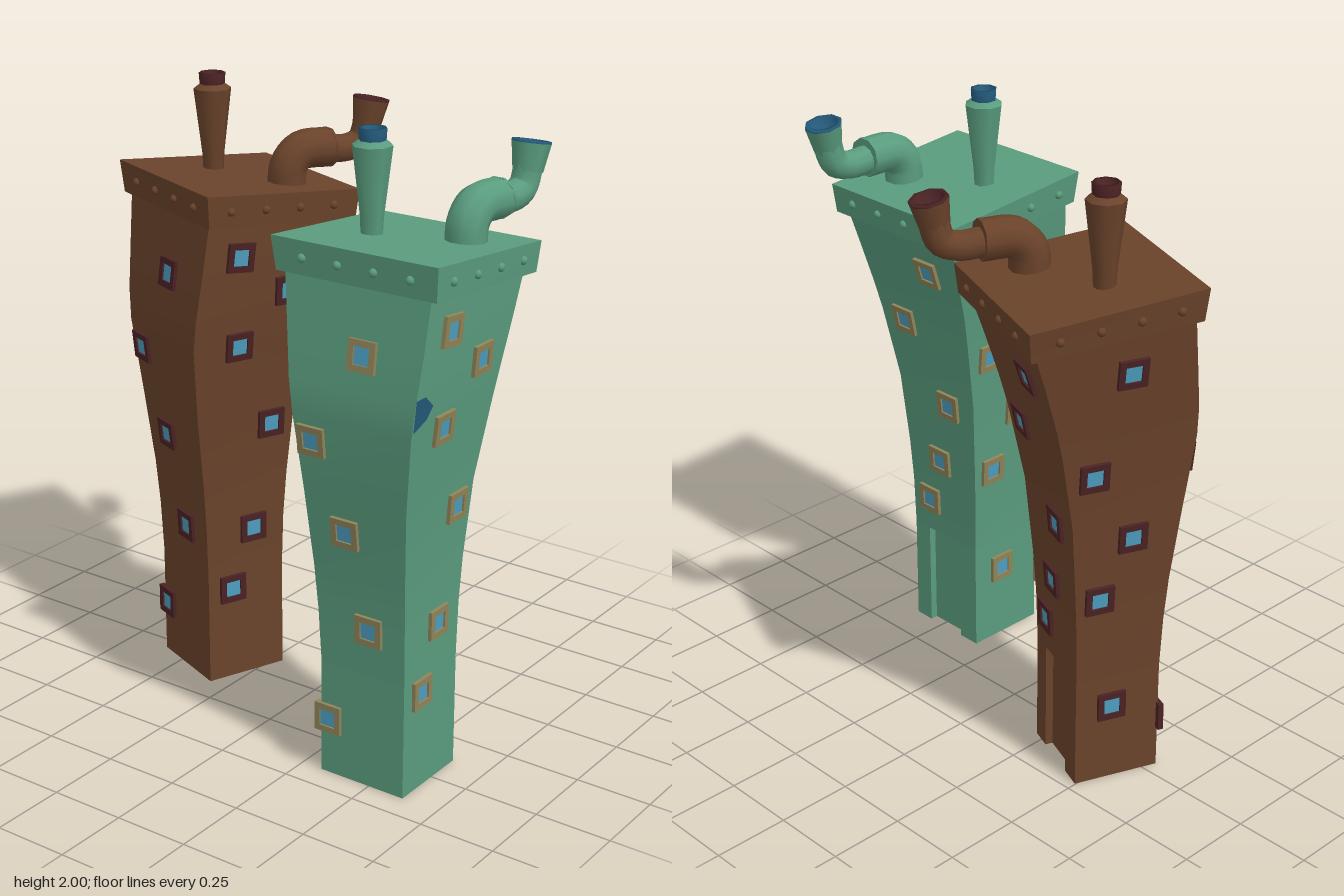
import * as THREE from 'three';

const mat = (name, color) => {
  const m = new THREE.MeshStandardMaterial({ color });
  m.name = name;
  return m;
};

// Tower outline at each height: y, left x, right x, back z, front z
const RINGS = [
  [0.375, -0.41, -0.125, 0.322, 0.625],
  [0.55, -0.415, -0.12, 0.314, 0.627],
  [0.7, -0.425, -0.11, 0.305, 0.632],
  [0.95, -0.453, -0.09, 0.288, 0.65],
  [1.2, -0.48, -0.045, 0.265, 0.68],
  [1.3, -0.475, -0.02, 0.25, 0.69],
  [1.45, -0.455, 0.025, 0.23, 0.702],
  [1.63, -0.43, 0.085, 0.205, 0.71],
];

// Interpolated outline value (1 left, 2 right, 3 back, 4 front)
function outline(k, y) {
  if (y <= RINGS[0][0]) return RINGS[0][k];
  let i = 1;
  while (i < RINGS.length - 1 && RINGS[i][0] < y) i++;
  const a = RINGS[i - 1], b = RINGS[i];
  return a[k] + ((b[k] - a[k]) * (y - a[0])) / (b[0] - a[0]);
}

// Curved walls: one smooth strip per side, sharp at the corners
function wallGeometry() {
  const corners = [[1, 4], [2, 4], [2, 3], [1, 3]];
  const pos = [], idx = [];
  for (let s = 0; s < 4; s++) {
    const start = pos.length / 3;
    RINGS.forEach((r, j) => {
      for (const c of [corners[s], corners[(s + 1) % 4]]) pos.push(r[c[0]], r[0], r[c[1]]);
      if (j) {
        const a = start + (j - 1) * 2;
        idx.push(a, a + 1, a + 3, a, a + 3, a + 2);
      }
    });
  }
  const g = new THREE.BufferGeometry();
  g.setAttribute('position', new THREE.Float32BufferAttribute(pos, 3));
  g.setIndex(idx);
  g.computeVertexNormals();
  return g;
}

// Straight foot of the tower with a door recess on the +x side
function footGeometry() {
  const pts = [[-0.41, 0.625], [-0.125, 0.625], [-0.125, 0.555], [-0.15, 0.555],
    [-0.15, 0.4], [-0.125, 0.4], [-0.125, 0.322], [-0.41, 0.322]];
  const shape = new THREE.Shape(pts.map(([x, z]) => new THREE.Vector2(x, -z)));
  return new THREE.ExtrudeGeometry(shape, { depth: 0.375, bevelEnabled: false }).rotateX(-Math.PI / 2);
}

// Sloping roof slab, a little narrower below
function capGeometry() {
  const g = new THREE.BoxGeometry(1, 1, 1);
  const p = g.attributes.position;
  for (let i = 0; i < p.count; i++) {
    const top = p.getY(i) > 0, right = p.getX(i) > 0, front = p.getZ(i) > 0;
    const x = right ? (top ? 0.1 : 0.09) : (top ? -0.455 : -0.447);
    const y = right ? (top ? 1.66 : 1.565) : (top ? 1.71 : 1.605);
    const z = front ? (top ? 0.743 : 0.735) : (top ? 0.172 : 0.185);
    p.setXYZ(i, x, y, z);
  }
  g.computeVertexNormals();
  return g;
}

function frameGeometry() {
  const square = (C, h) => new C([[-h, -h], [h, -h], [h, h], [-h, h]].map(([x, y]) => new THREE.Vector2(x, y)));
  const shape = square(THREE.Shape, 0.047);
  shape.holes.push(square(THREE.Path, 0.027));
  return new THREE.ExtrudeGeometry(shape, { depth: 0.018, bevelEnabled: false }).translate(0, 0, -0.006);
}

const SIDES = {
  front: { k: 4, sign: 1, turn: 0 },
  right: { k: 2, sign: 1, turn: Math.PI / 2 },
  back: { k: 3, sign: -1, turn: Math.PI },
  left: { k: 1, sign: -1, turn: -Math.PI / 2 },
};

// Windows per side: position along the wall, height
const WINDOWS = {
  front: [[-0.32, 1.49, -0.1], [-0.14, 1.355], [-0.315, 1.19], [-0.18, 0.895], [-0.24, 0.53], [-0.32, 0.325]],
  right: [[0.375, 1.435], [0.565, 1.195], [0.41, 0.91], [0.475, 0.675], [0.54, 0.5]],
  back: [[-0.245, 1.46], [-0.15, 1.12], [-0.29, 0.88], [-0.19, 0.675], [-0.245, 0.27]],
  left: [[0.5, 1.41], [0.33, 1.12], [0.43, 0.84], [0.5, 0.53], [0.35, 0.19]],
};

// Group lying on a wall, its +z pointing outward
function mount(side, u, y, roll = 0) {
  const { k, sign, turn } = SIDES[side];
  const d = outline(k, y);
  const slope = (sign * (outline(k, y + 0.05) - outline(k, y - 0.05))) / 0.1;
  const g = new THREE.Group();
  g.rotation.set(Math.atan(slope), turn, roll, 'YXZ');
  if (k > 2) g.position.set(u, y, d);
  else g.position.set(d, y, u);
  return g;
}

function buildTower(name, wall, trim, rim, glass) {
  const tower = new THREE.Group();
  tower.name = name;
  const add = (part, geo, m, parent = tower) => {
    const mesh = new THREE.Mesh(geo, m);
    mesh.name = part;
    parent.add(mesh);
    return mesh;
  };

  add('foot', footGeometry(), wall);
  add('walls', wallGeometry(), wall);
  add('doorLintel', new THREE.BoxGeometry(0.03, 0.01, 0.165), wall).position.set(-0.141, 0.38, 0.4775);
  add('roofSlab', capGeometry(), wall);

  // Windows
  const frame = frameGeometry(), pane = new THREE.BoxGeometry(0.056, 0.056, 0.008);
  for (const side in WINDOWS) {
    for (const [u, y, roll] of WINDOWS[side]) {
      const w = mount(side, u, y, roll);
      w.name = side + 'Window';
      add('windowFrame', frame, trim, w);
      add('windowPane', pane, glass, w).position.z = 0.002;
      tower.add(w);
    }
  }

  // Rivets around the roof slab
  const rivet = new THREE.SphereGeometry(0.014, 8, 6);
  const slabY = (x) => 1.657 - (x + 0.45) * 0.08;
  for (let i = 0; i < 4; i++) {
    const x = -0.37 + i * 0.125, z = 0.28 + i * 0.123;
    for (const [px, pz] of [[x, 0.738], [x, 0.179], [0.094, z], [-0.451, z]]) {
      add('rivet', rivet, wall).position.set(px, slabY(px), pz);
    }
  }

  // Upright chimney with a dark collar
  const chimney = new THREE.Group();
  chimney.name = 'chimney';
  chimney.position.set(-0.21, 0, 0.355);
  const ring = (pts) => new THREE.LatheGeometry(pts.map(([r, y]) => new THREE.Vector2(r, y)), 8, Math.PI / 8);
  add('chimneyFlue', ring([[0.032, 1.66], [0.036, 1.74], [0.061, 1.95]]), wall, chimney);
  add('chimneyShoulder', ring([[0.061, 1.95], [0.04, 1.965]]), wall, chimney);
  add('chimneyCollar', ring([[0.04, 1.955], [0.043, 2], [0.03, 2], [0.028, 1.97], [0, 1.97]]), rim, chimney);
  tower.add(chimney);

  // Bent pipe: thick elbow, thinner arm, flared mouth
  const v = (x, y, z) => new THREE.Vector3(x, y, z);
  const bend = (pts) => new THREE.CatmullRomCurve3(pts);
  add('pipeElbow', new THREE.TubeGeometry(bend([v(-0.082, 1.66, 0.597), v(-0.075, 1.73, 0.598),
    v(-0.035, 1.772, 0.602), v(0.065, 1.775, 0.612)]), 14, 0.063, 10), wall);
  const collar = add('pipeCollar', new THREE.CylinderGeometry(0.064, 0.064, 0.01, 10), wall);
  collar.position.set(0.064, 1.775, 0.612);
  collar.rotation.z = Math.PI / 2;
  add('pipeArm', new THREE.TubeGeometry(bend([v(0.06, 1.77, 0.611), v(0.13, 1.765, 0.618),
    v(0.183, 1.785, 0.625), v(0.207, 1.86, 0.63)]), 12, 0.046, 10), wall);
  const mouth = new THREE.Group();
  mouth.name = 'pipeMouth';
  mouth.position.set(0.2, 1.83, 0.63);
  mouth.rotation.z = -0.2;
  add('mouthFlare', ring([[0.046, 0], [0.06, 0.085]]), wall, mouth);
  add('mouthRim', ring([[0.06, 0.085], [0.06, 0.092], [0.044, 0.092], [0.04, 0.06], [0, 0.06]]), rim, mouth);
  tower.add(mouth);
  return tower;
}

export function createModel() {
  const model = new THREE.Group();
  model.name = 'twinTowers';
  const glass = mat('windowBlue', 0x4d9dbf);
  const teal = mat('darkTeal', 0x24597a);
  const maroon = mat('darkMaroon', 0x4a2224);

  const green = buildTower('greenTower', mat('seaGreen', 0x5a9c7e), mat('oliveTrim', 0x8f8458), teal, glass);
  // Dark stain near the front corner
  const stain = mount('front', -0.43, 1.275);
  const blob = new THREE.Shape([[-0.047, 0.045], [0, 0.045], [0.045, 0.005], [0.015, -0.03], [-0.048, -0.055]]
    .map(([x, y]) => new THREE.Vector2(x, y)));
  const stainMesh = new THREE.Mesh(new THREE.ShapeGeometry(blob), teal);
  stainMesh.name = 'wallStain';
  stainMesh.position.z = 0.003;
  stain.add(stainMesh);
  green.add(stain);
  model.add(green);

  // Second tower: same build, turned about its own axis behind the first
  const brown = buildTower('brownTower', mat('brown', 0x6a432b), maroon, maroon, glass);
  brown.position.set(0.175, 0, -0.457);
  const pivot = new THREE.Group();
  pivot.name = 'brownTowerPivot';
  pivot.position.set(0.122, 0, -0.39);
  pivot.rotation.y = -0.375;
  pivot.add(brown);
  model.add(pivot);
  return model;
}
